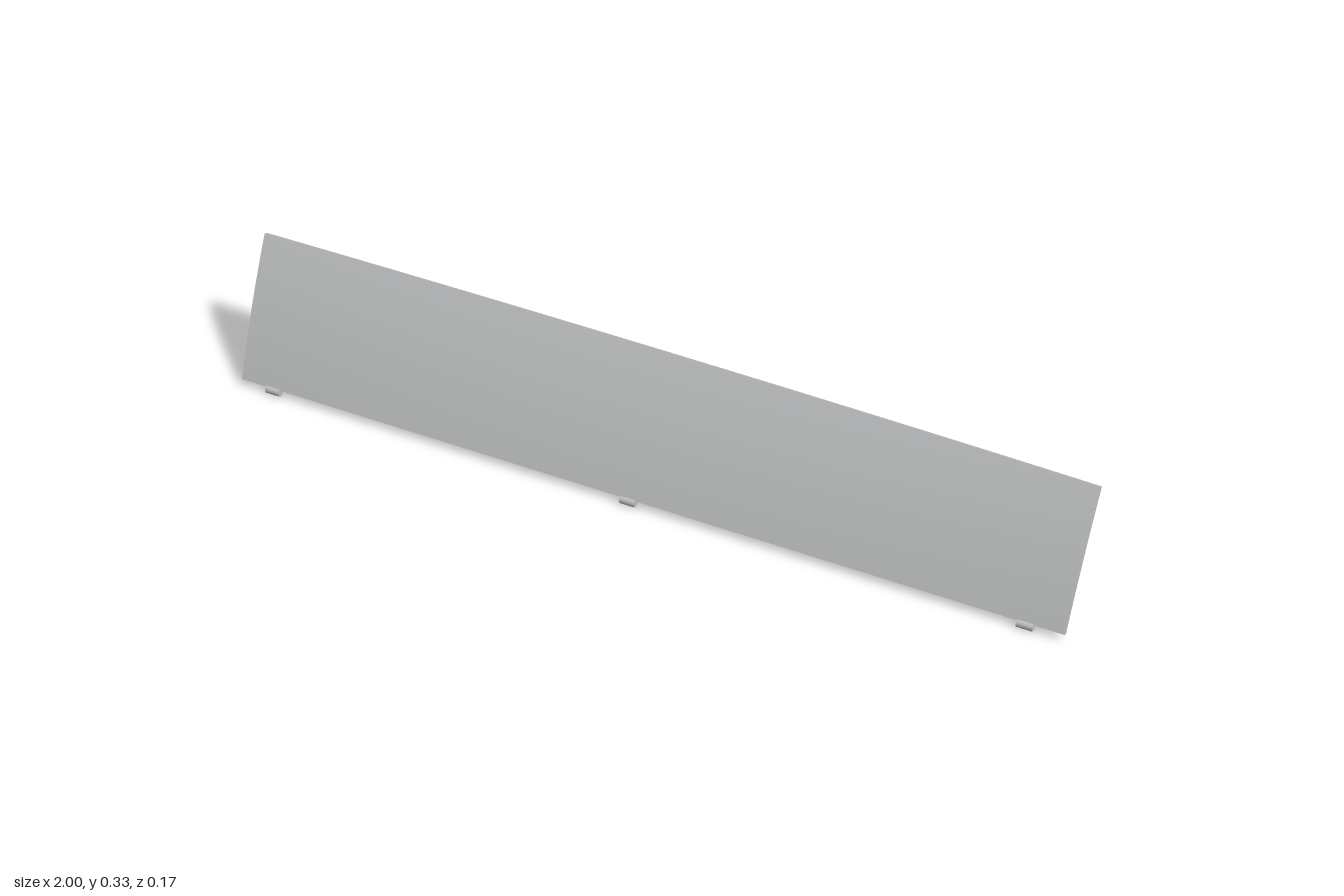
import * as THREE from 'three';

// Maps panel coordinates (x, v = 0..1 up the face, d = depth behind the face) to space
function onPanel(x, v, d, out) {
  const topY = 0.32 - 0.014 * x;
  const topZ = -0.073 + 0.0045 * x + 0.0095 * x * x;
  const bow = 0.006 * 4 * v * (1 - v) - d;
  return out.set(x, 0.018 + (topY - 0.018) * v + 0.42 * bow, 0.077 + (topZ - 0.077) * v + 0.91 * bow);
}

// Box that follows the bowed, leaning panel
function panelBox(x0, x1, v0, v1, d0, d1) {
  const nx = Math.max(1, Math.ceil((x1 - x0) * 14));
  const nv = Math.max(1, Math.ceil((v1 - v0) * 12));
  const g = new THREE.BoxGeometry(x1 - x0, v1 - v0, d1 - d0, nx, nv, 1);
  g.translate((x0 + x1) / 2, (v0 + v1) / 2, -(d0 + d1) / 2);
  const p = g.attributes.position;
  const q = new THREE.Vector3();
  for (let i = 0; i < p.count; i++) {
    onPanel(p.getX(i), p.getY(i), -p.getZ(i), q);
    p.setXYZ(i, q.x, q.y, q.z);
  }
  g.computeVertexNormals();
  return g;
}

export function createModel() {
  const group = new THREE.Group();
  const grey = new THREE.MeshStandardMaterial({ color: 0xbfc1c2 });
  grey.name = 'light grey';
  const add = (name, geometry) => {
    const mesh = new THREE.Mesh(geometry, grey);
    mesh.name = name;
    group.add(mesh);
    return mesh;
  };

  const skin = 0.010, ribBack = 0.0145;
  add('panelSkin', panelBox(-1, 1, 0, 1, 0, skin));

  // Raised border strips around the back
  add('topLip', panelBox(-1, 1, 0.92, 1, skin - 0.002, 0.012));
  add('leftLip', panelBox(0.98, 1, 0, 0.92, skin - 0.002, 0.012));
  add('rightLip', panelBox(-1, -0.985, 0, 0.92, skin - 0.002, 0.012));
  add('bottomLip', panelBox(-1, 1, 0, 0.05, skin - 0.002, 0.011));

  // Stiffening ribs across the back
  const verticals = [0.6, 0.19, -0.22, -0.61, -0.972];
  for (const x of verticals) {
    add('verticalRib', panelBox(x - 0.007, x + 0.007, 0.09, 0.92, skin - 0.002, ribBack));
  }
  add('longRib', panelBox(-0.975, 0.45, 0.495, 0.53, skin - 0.002, ribBack + 0.002));
  add('shortRib', panelBox(0.72, 0.965, 0.495, 0.53, skin - 0.002, ribBack + 0.002));

  // Hinge clips: a round knuckle under the edge and a wedge-shaped arm behind
  const arm = new THREE.Shape([
    [0.068, 0.005], [0.061, 0.007], [0.034, 0.049], [0.038, 0.053], [0.050, 0.046], [0.066, 0.02],
  ].map(([z, y]) => new THREE.Vector2(-z, y)));
  for (const x of [-0.915, 0, 0.915]) {
    const knuckle = new THREE.CylinderGeometry(0.0105, 0.0105, 0.036, 12);
    knuckle.rotateZ(Math.PI / 2).translate(x, 0.0105, 0.073);
    add('hingeKnuckle', knuckle);
    const g = new THREE.ExtrudeGeometry(arm, { depth: 0.026, bevelEnabled: false });
    g.translate(0, 0, -0.013).rotateY(Math.PI / 2).translate(x, 0, 0);
    add('hingeArm', g);
  }
  return group;
}
